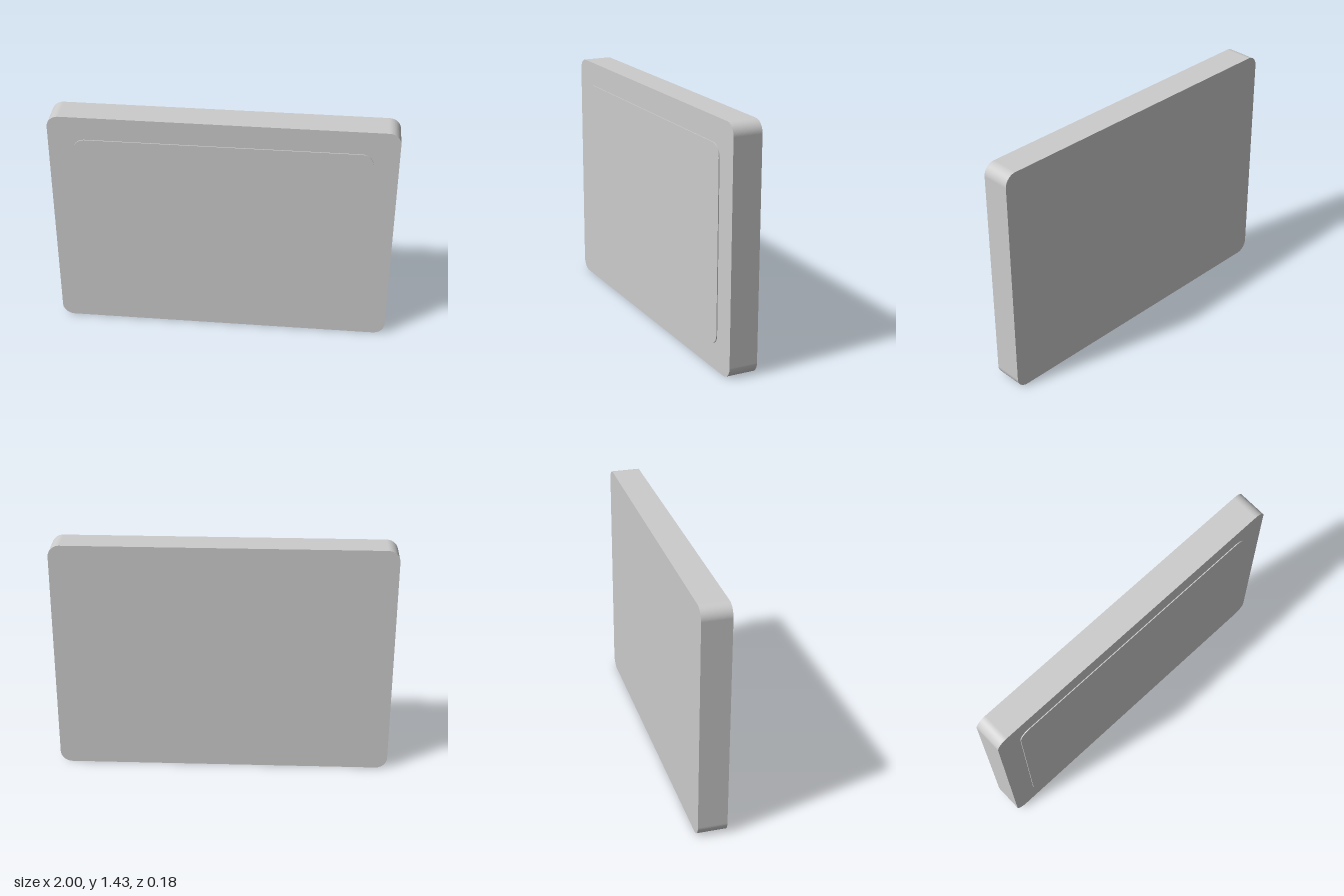
import * as THREE from 'three';

// Upright slab with rounded corners, centred on x, from z0 to z1
function roundedSlab(name, width, y0, y1, radius, z0, z1) {
  const w = width / 2, r = radius;
  const shape = new THREE.Shape();
  shape.absarc(w - r, y0 + r, r, -Math.PI / 2, 0);
  shape.absarc(w - r, y1 - r, r, 0, Math.PI / 2);
  shape.absarc(-w + r, y1 - r, r, Math.PI / 2, Math.PI);
  shape.absarc(-w + r, y0 + r, r, Math.PI, Math.PI * 1.5);
  const geometry = new THREE.ExtrudeGeometry(shape, {
    depth: z1 - z0, bevelEnabled: false, curveSegments: 12,
  });
  geometry.translate(0, 0, z0);
  const mesh = new THREE.Mesh(geometry, new THREE.MeshStandardMaterial({ color: 0xcccccc }));
  mesh.name = name;
  return mesh;
}

export function createModel() {
  const model = new THREE.Group();
  model.name = 'tablet';
  // Thick casing
  model.add(roundedSlab('casing', 2, 0, 1.429, 0.07, -0.0885, 0.083));
  // Thin screen, standing slightly proud of the front
  model.add(roundedSlab('screen', 1.714, 0.143, 1.286, 0.07, 0.07, 0.0885));
  return model;
}
